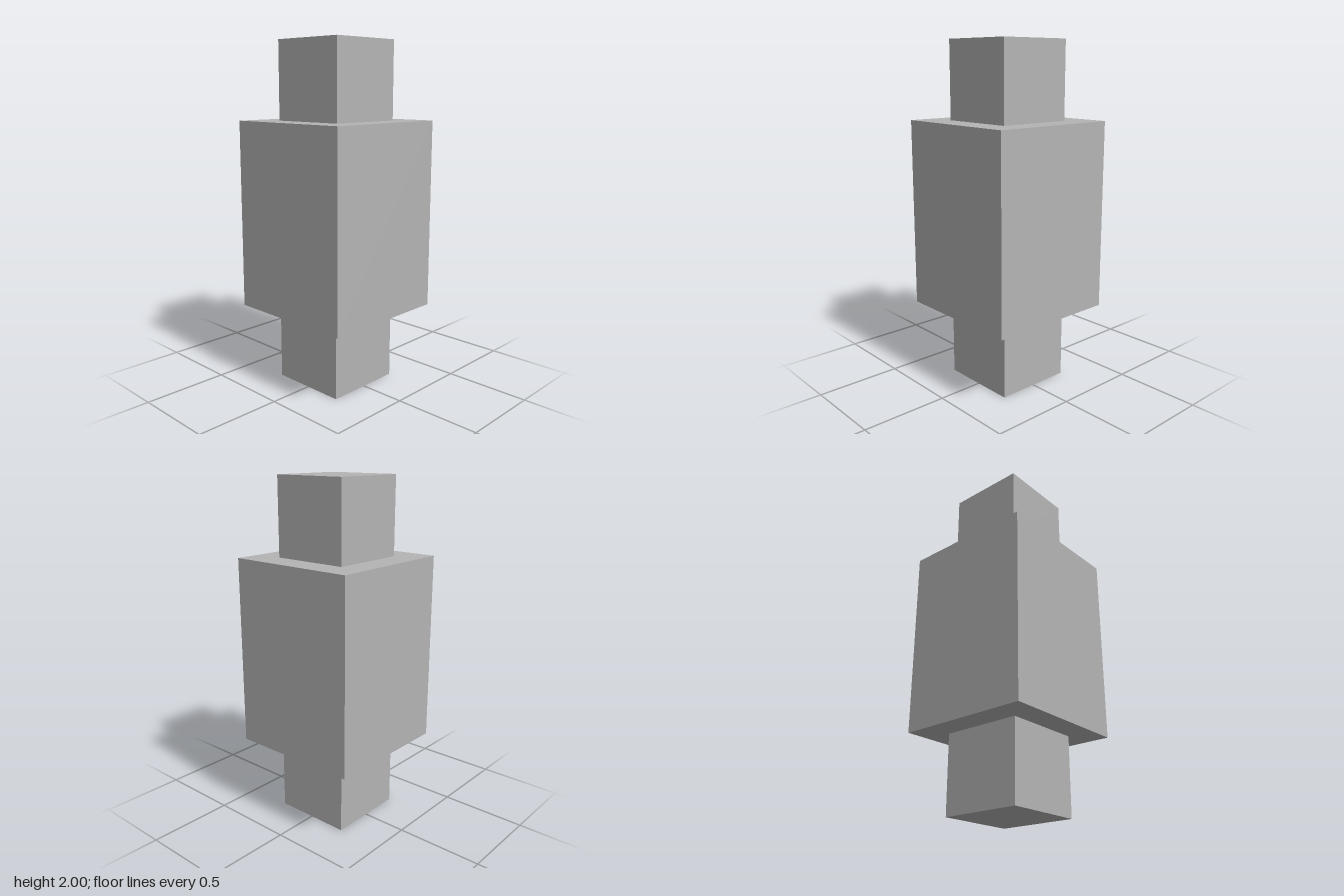
import * as THREE from 'three';

export function createModel() {
  const model = new THREE.Group();
  const grey = new THREE.MeshStandardMaterial({ color: 0xb4b4b4 });
  grey.name = 'plain grey';

  // Square block between two heights, centred on (x, z)
  function block(name, width, depth, bottom, top, x = 0, z = 0) {
    const mesh = new THREE.Mesh(new THREE.BoxGeometry(width, top - bottom, depth), grey);
    mesh.name = name;
    mesh.position.set(x, (bottom + top) / 2, z);
    model.add(mesh);
  }

  block('lowerStub', 0.464, 0.47, 0, 0.45, -0.002, 0.002);
  block('body', 0.78, 0.78, 0.45, 1.55);
  block('upperStub', 0.457, 0.457, 1.55, 2);

  return model;
}
